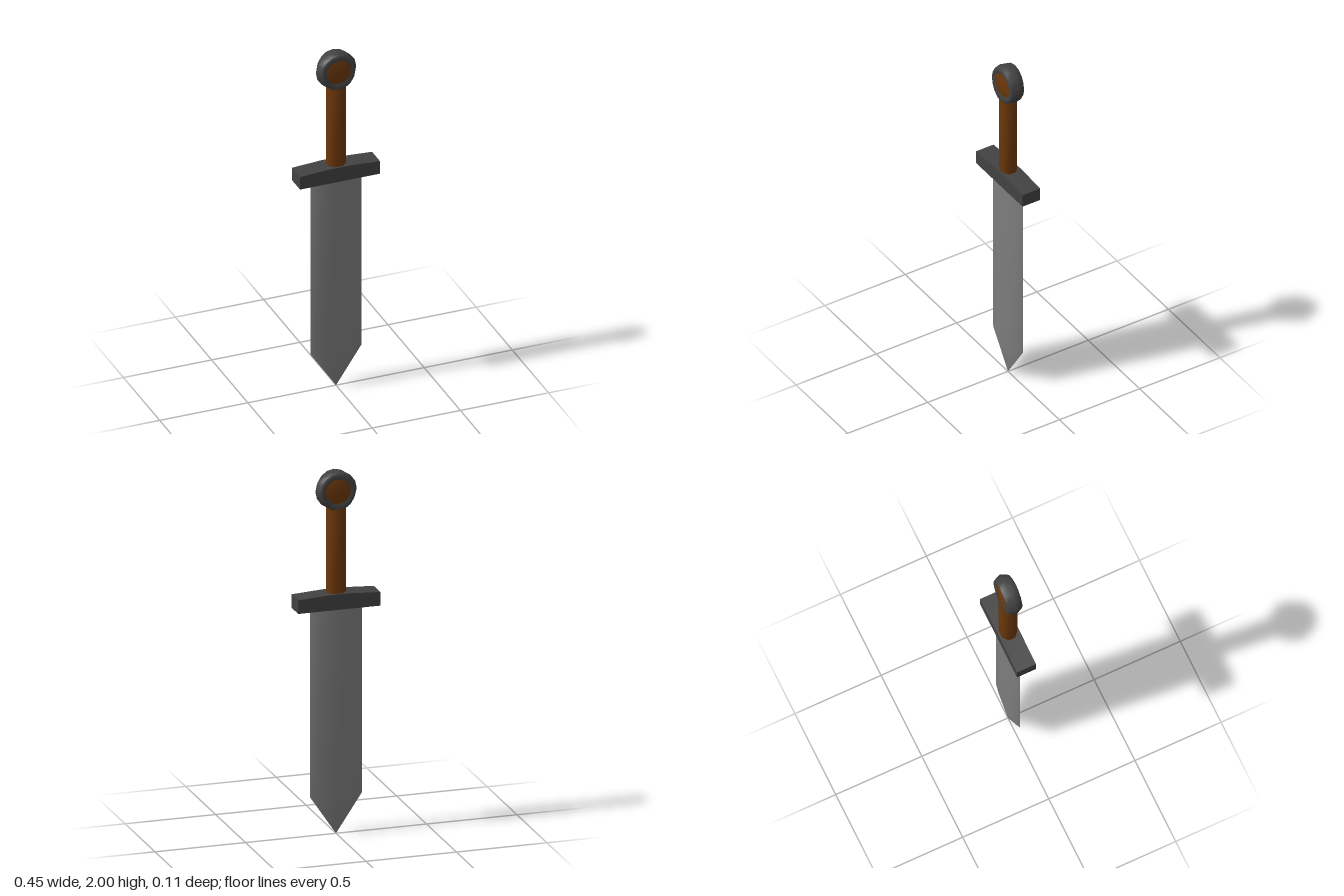
import * as THREE from 'three';
import { toCreasedNormals } from 'three/addons/utils/BufferGeometryUtils.js';

const steel = new THREE.MeshStandardMaterial({ color: 0x7e7e7e });
steel.name = 'blade steel';
const iron = new THREE.MeshStandardMaterial({ color: 0x424242 });
iron.name = 'dark iron';
const leather = new THREE.MeshStandardMaterial({ color: 0x6c380a });
leather.name = 'brown leather';

// Skins a stack of closed rings, [y, scale] each, from bottom to top
function loft(section, levels) {
  const pos = [], index = [], n = section.length;
  for (const [y, s] of levels) for (const [x, z] of section) pos.push(x * s, y, z * s);
  for (let l = 0; l < levels.length - 1; l++) {
    for (let i = 0; i < n; i++) {
      const a = l * n + i, b = l * n + (i + 1) % n;
      if (levels[l][1] > 0) index.push(a, b, b + n);
      index.push(a, b + n, a + n);
    }
  }
  const g = new THREE.BufferGeometry();
  g.setAttribute('position', new THREE.Float32BufferAttribute(pos, 3));
  g.setIndex(index);
  return g;
}

export function createModel() {
  const sword = new THREE.Group();
  sword.name = 'sword';
  const add = (name, geometry, material, crease = 0.6) => {
    const mesh = new THREE.Mesh(toCreasedNormals(geometry, crease), material);
    mesh.name = name;
    sword.add(mesh);
  };

  // Blade: shallow lens section with sharp edges, point downwards
  const half = [[0.145, 0], [0.125, -0.01], [0.07, -0.02], [0, -0.027], [-0.07, -0.02], [-0.125, -0.01]];
  const section = [...half, ...half.map(([x, z]) => [-x, -z])];
  add('blade', loft(section, [[0, 0], [0.215, 1], [1.26, 1]]), steel);

  // Crossguard: bar whose top rises slightly to the middle
  const bar = new THREE.Shape([
    [-0.227, 1.25], [0.227, 1.25], [0.227, 1.325], [0.06, 1.335], [-0.06, 1.335], [-0.227, 1.325],
  ].map(([x, y]) => new THREE.Vector2(x, y)));
  add('crossguard', new THREE.ExtrudeGeometry(bar, { depth: 0.11, bevelEnabled: false }).translate(0, 0, -0.055), iron);

  // Grip: slightly flattened eight-sided rod
  const grip = new THREE.CylinderGeometry(0.052, 0.052, 0.48, 8);
  grip.rotateY(Math.PI / 8).scale(1.04, 1, 0.92).translate(0, 1.565, 0);
  add('grip', grip, leather, 0.9);

  // Pommel: solid rounded disc, its rim ridged at the sides and lipped at top and bottom
  const profile = [
    [0, -0.034], [0.06, -0.034], [0.076, -0.041], [0.1, -0.045], [0.105, -0.037], [0.104, 0],
    [0.105, 0.037], [0.1, 0.045], [0.076, 0.041], [0.06, 0.034], [0, 0.034],
  ];
  const disc = new THREE.LatheGeometry(profile.map(([r, z]) => new THREE.Vector2(r, z)), 16);
  disc.rotateX(Math.PI / 2);
  const p = disc.attributes.position;
  for (let i = 0; i < p.count; i++) {
    const x = p.getX(i), z = p.getZ(i), r = Math.hypot(x, p.getY(i));
    if (r < 0.09) continue;
    p.setX(i, x * (Math.abs(z) < 0.01 ? 1.1 : 0.93));
    p.setZ(i, z * (1 - 0.1 * (x / r) ** 2));
  }
  add('pommel', disc.translate(0, 1.895, 0), iron, 1.4);

  // Pommel insets: low domes on both faces
  for (const side of [1, -1]) {
    const dome = new THREE.ConeGeometry(0.079, 0.021, 8, 1, true);
    dome.rotateY(Math.PI / 8).rotateX(side * Math.PI / 2).translate(0, 1.9, side * 0.0465);
    add(side > 0 ? 'frontInset' : 'backInset', dome, leather);
  }
  return sword;
}
